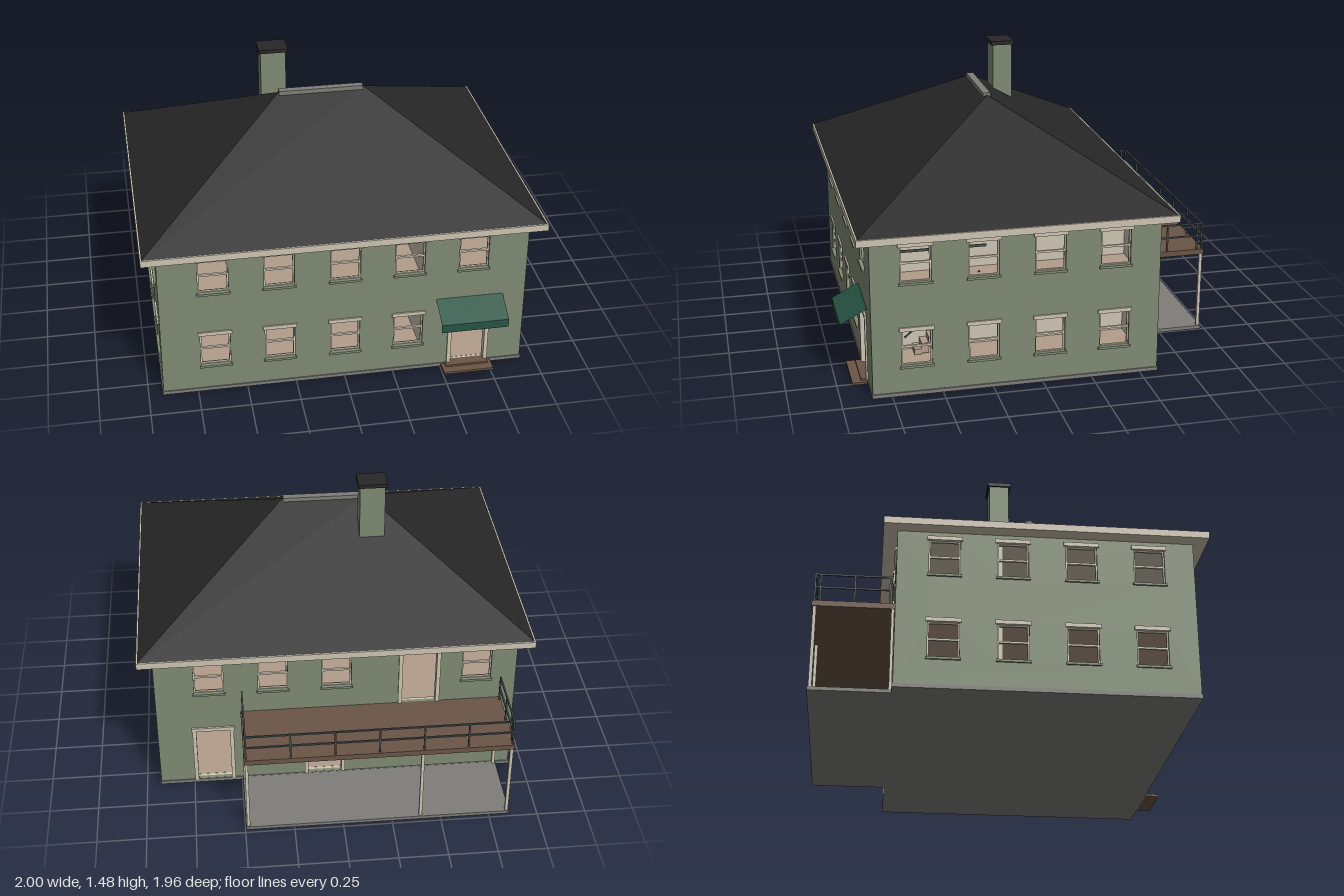
import * as THREE from 'three';

const mat = (name, color, side = THREE.FrontSide) => {
  const m = new THREE.MeshStandardMaterial({ color, side });
  m.name = name;
  return m;
};

export function createModel() {
  const house = new THREE.Group();
  house.name = 'house';
  const siding = mat('sage siding', 0x808b73);
  const trim = mat('cream trim', 0xcec6b3);
  const roofing = mat('black roofing', 0x272727);
  const concrete = mat('grey concrete', 0x7f7e7a);
  const wood = mat('brown deck wood', 0x6b5547);
  const metal = mat('dark rail metal', 0x4a5052);
  const canvas = mat('green canvas', 0x265443, THREE.DoubleSide);
  const flooring = mat('tan flooring', 0xb39d8b);

  // box from min/max ranges
  const box = (parent, name, m, [x0, x1], [y0, y1], [z0, z1]) => {
    const mesh = new THREE.Mesh(new THREE.BoxGeometry(x1 - x0, y1 - y0, z1 - z0), m);
    mesh.position.set((x0 + x1) / 2, (y0 + y1) / 2, (z0 + z1) / 2);
    mesh.name = name;
    parent.add(mesh);
    return mesh;
  };
  const group = (name) => {
    const g = new THREE.Group();
    g.name = name;
    house.add(g);
    return g;
  };

  const W = 0.925, ZF = 0.845, ZB = -0.59, ZC = (ZF + ZB) / 2, Y0 = 0.02, Y1 = 0.815;

  // openings: u along the wall
  const win = (u, y) => ({ u, w: 0.15, y0: y, y1: y + 0.185 });
  const LOW = 0.155, HIGH = 0.585;
  const door = (u, y) => ({ u, w: 0.19, y0: y, y1: y + 0.325, door: true });

  // wall with cut openings; local +z faces outwards
  function wall(name, half, openings, pos, rotY) {
    const g = group(name);
    g.position.copy(pos);
    g.rotation.y = rotY;
    const shell = (label, m, inset, depth, z) => {
      const s = new THREE.Shape();
      const h = half - inset;
      s.moveTo(-h, Y0); s.lineTo(h, Y0); s.lineTo(h, Y1); s.lineTo(-h, Y1);
      for (const o of openings) {
        const p = new THREE.Path();
        const a = o.u - o.w / 2, b = o.u + o.w / 2, c = Math.max(o.y0, Y0 + 0.001);
        p.moveTo(a, c); p.lineTo(a, o.y1); p.lineTo(b, o.y1); p.lineTo(b, c);
        s.holes.push(p);
      }
      const mesh = new THREE.Mesh(new THREE.ExtrudeGeometry(s, { depth, bevelEnabled: false }), m);
      mesh.position.z = z;
      mesh.name = label;
      g.add(mesh);
    };
    shell('siding', siding, 0, 0.02, -0.02);
    shell('innerLining', trim, 0.02, 0.015, -0.035);
    for (const o of openings) {
      const a = o.u - o.w / 2, b = o.u + o.w / 2;
      if (o.door) {
        box(g, 'doorJamb', trim, [a - 0.012, a + 0.008], [o.y0, o.y1], [-0.03, 0.008]);
        box(g, 'doorJamb', trim, [b - 0.008, b + 0.012], [o.y0, o.y1], [-0.03, 0.008]);
        box(g, 'doorHead', trim, [a - 0.016, b + 0.016], [o.y1, o.y1 + 0.02], [-0.01, 0.01]);
        continue;
      }
      box(g, 'lintel', trim, [a - 0.01, b + 0.01], [o.y1 - 0.002, o.y1 + 0.018], [-0.01, 0.008]);
      box(g, 'sill', siding, [a - 0.008, b + 0.008], [o.y0 - 0.01, o.y0 + 0.002], [-0.02, 0.01]);
      const mid = (o.y0 + o.y1) / 2 + 0.005;
      box(g, 'meetingRail', trim, [a, b], [mid - 0.005, mid + 0.005], [-0.022, -0.01]);
      for (const x of [a, b - 0.007]) box(g, 'sashStile', trim, [x, x + 0.007], [o.y0, o.y1], [-0.022, -0.01]);
      for (const y of [o.y0, o.y1 - 0.007]) box(g, 'sashRail', trim, [a, b], [y, y + 0.007], [-0.022, -0.01]);
    }
  }

  const cols = [-0.655, -0.33, 0, 0.325];
  const frontOpen = [win(0.65, HIGH), door(0.64, Y0)];
  for (const x of cols) frontOpen.push(win(x, LOW), win(x, HIGH));
  wall('frontWall', W, frontOpen, new THREE.Vector3(0, 0, ZF), 0);

  const backOpen = [door(-0.64, Y0), door(-0.06, Y0), door(0.425, 0.455)];
  for (const x of [0.65, 0.325, 0, -0.72]) backOpen.push(win(-x, HIGH));
  for (const x of [0.325, -0.33, -0.655]) backOpen.push(win(-x, LOW));
  wall('backWall', W, backOpen, new THREE.Vector3(0, 0, ZB), Math.PI);

  for (const s of [1, -1]) {
    const open = [];
    for (const z of [0.625, 0.295, -0.035, -0.362]) {
      const u = -s * (z - ZC);
      open.push(win(u, LOW), win(u, HIGH));
    }
    wall(s > 0 ? 'leftWall' : 'rightWall', (ZF - ZB) / 2 - 0.001, open,
      new THREE.Vector3(s * W, 0, ZC), s * Math.PI / 2);
  }

  // foundation, patio and interior
  box(house, 'foundation', concrete, [-0.93, 0.93], [0, 0.019], [ZB - 0.004, ZF + 0.004]);
  box(house, 'patio', concrete, [-0.855, 0.495], [0, 0.018], [-0.98, ZB]);
  const inside = group('interior');
  box(inside, 'groundFloor', flooring, [-0.89, 0.89], [0.015, 0.022], [ZB + 0.035, ZF - 0.035]);
  box(inside, 'upperFloor', flooring, [-0.89, 0.89], [0.425, 0.45], [ZB + 0.035, ZF - 0.035]);
  for (const [a, b] of [[0.022, 0.425], [0.45, 0.81]]) {
    box(inside, 'spinePartition', trim, [-0.89, 0.43], [a, b], [-0.1, -0.08]);
    box(inside, 'hallPartition', trim, [0.43, 0.45], [a, b], [ZB + 0.036, ZF - 0.036]);
  }
  const N = 13;
  for (let i = 0; i < N; i++) {
    const z = 0.575 - i * 0.0365, y = 0.022 + i * 0.031;
    box(inside, 'stairStep', flooring, [0.45, 0.53], [Math.max(0.022, y - 0.025), y + 0.031], [z - 0.0365, z]);
  }
  const handrail = box(inside, 'stairHandrail', metal, [0.53, 0.536], [0.28, 0.288], [0.1, 0.64]);
  handrail.rotation.x = 0.7;
  handrail.position.set(0.533, 0.29, 0.43);
  handrail.scale.z = 0.95;
  box(inside, 'landingRail', metal, [0.53, 0.536], [0.587, 0.6], [0.2, 0.65]);

  // fascia and hipped roof
  box(house, 'fascia', trim, [-1, 1], [0.81, 0.845], [-0.658, 0.912]);
  const c = [[-0.993, 0.845, 0.905], [0.993, 0.845, 0.905], [0.993, 0.845, -0.651], [-0.993, 0.845, -0.651]];
  const r = [[-0.22, 1.287, 0.125], [0.22, 1.287, 0.125]];
  const tris = [
    c[0], c[1], r[1], c[0], r[1], r[0],
    c[2], c[3], r[0], c[2], r[0], r[1],
    c[1], c[2], r[1], c[3], c[0], r[0],
  ];
  const roofGeo = new THREE.BufferGeometry();
  roofGeo.setAttribute('position', new THREE.Float32BufferAttribute(tris.flat(), 3));
  roofGeo.computeVertexNormals();
  const roof = new THREE.Mesh(roofGeo, roofing);
  roof.name = 'hipRoof';
  house.add(roof);
  box(house, 'ridgeVent', concrete, [-0.22, 0.215], [1.275, 1.298], [0.107, 0.145]);
  box(house, 'chimney', siding, [-0.295, -0.165], [1.05, 1.456], [-0.093, 0.01]);
  box(house, 'chimneyCap', roofing, [-0.305, -0.155], [1.456, 1.476], [-0.103, 0.02]);

  // front steps and awning
  box(house, 'lowerStep', wood, [0.505, 0.765], [0.002, 0.014], [ZF, 0.925]);
  box(house, 'upperStep', wood, [0.525, 0.745], [0.012, 0.024], [ZF - 0.02, 0.88]);
  const awning = group('awning');
  const panel = (name, ya, za, yb, zb) => {
    const geo = new THREE.PlaneGeometry(0.345, 1);
    const p = geo.attributes.position;
    for (let i = 0; i < 4; i++) {
      const top = p.getY(i) > 0;
      p.setXYZ(i, p.getX(i) + 0.6375, top ? ya : yb, top ? za : zb);
    }
    geo.computeVertexNormals();
    const mesh = new THREE.Mesh(geo, canvas);
    mesh.name = name;
    awning.add(mesh);
  };
  panel('awningSlope', 0.42, ZF + 0.002, 0.35, 0.98);
  panel('awningValance', 0.35, 0.98, 0.305, 0.98);

  // back deck with posts and railing
  const deck = group('deck');
  const X0 = -0.855, X1 = 0.495, Z0 = -0.98;
  box(deck, 'deckBoards', wood, [X0, X1], [0.428, 0.457], [Z0, ZB]);
  for (const x of [X0 + 0.012, -0.397, X1 - 0.012])
    box(deck, 'deckPost', trim, [x - 0.008, x + 0.008], [0.018, 0.428], [-0.974, -0.958]);
  for (const x of [X0 + 0.012, X1 - 0.012])
    box(deck, 'wallPost', trim, [x - 0.008, x + 0.008], [0.018, 0.428], [-0.606, -0.592]);
  const t = 0.004, zr = -0.968, xa = X0 + 0.01, xb = X1 - 0.01;
  for (let i = 0; i <= 6; i++) {
    const x = xa + (xb - xa) * i / 6;
    box(deck, 'railPost', metal, [x - t, x + t], [0.457, 0.6], [zr - t, zr + t]);
  }
  for (const y of [0.53, 0.598]) {
    box(deck, 'backRail', metal, [xa - t, xb + t], [y - t, y + t], [zr - t, zr + t]);
    for (const x of [xa, xb]) box(deck, 'sideRail', metal, [x - t, x + t], [y - t, y + t], [zr, -0.61]);
  }
  for (const x of [xa, xb]) for (const z of [-0.614, -0.78, -0.943])
    box(deck, 'railPost', metal, [x - t, x + t], [0.457, 0.6], [z - t, z + t]);

  return house;
}
